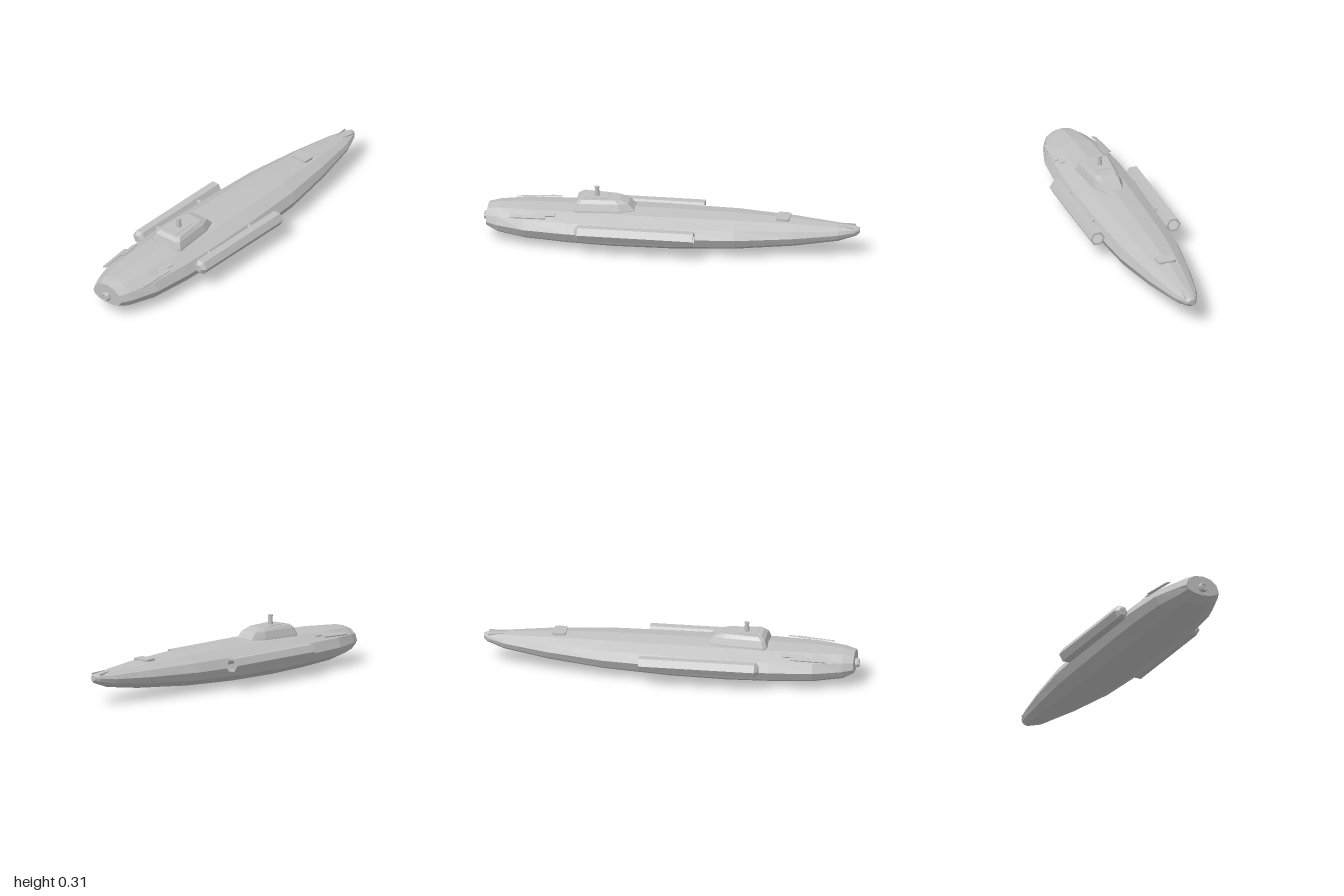
import * as THREE from 'three';

const steel = new THREE.MeshStandardMaterial({ color: 0xc0c0c0 });
steel.name = 'steel grey';
steel.flatShading = true;

function add(parent, name, geometry, x = 0, y = 0, z = 0) {
  const mesh = new THREE.Mesh(geometry, steel);
  mesh.name = name;
  mesh.position.set(x, y, z);
  parent.add(mesh);
  return mesh;
}

// Skin between equal-length loops of points, with both ends capped.
function loft(loops) {
  const n = loops[0].length, pos = [], index = [];
  loops.forEach(loop => loop.forEach(p => pos.push(...p)));
  for (let i = 0; i < loops.length - 1; i++) {
    for (let j = 0; j < n; j++) {
      const a = i * n + j, b = i * n + (j + 1) % n;
      index.push(a, b, b + n, a, b + n, a + n);
    }
  }
  const last = (loops.length - 1) * n;
  for (let j = 1; j < n - 1; j++) {
    index.push(0, j + 1, j, last, last + j, last + j + 1);
  }
  const g = new THREE.BufferGeometry();
  g.setAttribute('position', new THREE.Float32BufferAttribute(pos, 3));
  g.setIndex(index);
  const flat = g.toNonIndexed();
  flat.computeVertexNormals();
  return flat;
}

// Revolved profile of [radius, z] pairs, turned so its axis lies along z.
function turned(profile, sides) {
  const g = new THREE.LatheGeometry(profile.map(([r, z]) => new THREE.Vector2(r, z)), sides);
  g.rotateX(Math.PI / 2);
  return g;
}

// Hull stations: z, half width, bottom, top, height of the widest line
const STATIONS = [
  [-1.0, 0.016, 0.130, 0.160, 0.146],
  [-0.98, 0.032, 0.114, 0.166, 0.142],
  [-0.89, 0.068, 0.085, 0.174, 0.134],
  [-0.65, 0.120, 0.050, 0.194, 0.122],
  [-0.35, 0.168, 0.022, 0.207, 0.113],
  [0.0, 0.188, 0.005, 0.209, 0.108],
  [0.30, 0.197, 0.002, 0.209, 0.107],
  [0.54, 0.192, 0.008, 0.209, 0.107],
  [0.77, 0.172, 0.019, 0.205, 0.108],
  [0.92, 0.125, 0.038, 0.194, 0.108],
  [0.978, 0.097, 0.070, 0.180, 0.110],
];

function hullLoop([z, w, bottom, top, mid]) {
  return Array.from({ length: 12 }, (_, i) => {
    const a = i * Math.PI / 6, s = Math.sin(a);
    return [w * Math.cos(a), mid + s * (s > 0 ? top - mid : mid - bottom), z];
  });
}

// Conning tower ring: half width and z at the stern, shoulder and bow corners
function towerLoop(y, sternW, sternZ, sideW, sideZ, bowW, bowSideZ, bowZ) {
  const half = [[bowW - 0.014, bowZ], [bowW, bowSideZ], [sideW, sideZ], [sternW, sternZ]];
  const ring = [...half, ...half.slice().reverse().map(([x, z]) => [-x, z])];
  return ring.map(([x, z]) => [x, y, z]);
}

export function createModel() {
  const model = new THREE.Group();
  model.name = 'submarine';

  add(model, 'hull', loft(STATIONS.map(hullLoop)));

  // Conning tower with periscope
  const tower = new THREE.Group();
  tower.name = 'conningTower';
  model.add(tower);
  add(tower, 'towerBody', loft([
    towerLoop(0.185, 0.055, 0.190, 0.084, 0.27, 0.102, 0.50, 0.520),
    towerLoop(0.205, 0.052, 0.195, 0.080, 0.27, 0.098, 0.498, 0.517),
    towerLoop(0.240, 0.048, 0.228, 0.068, 0.28, 0.084, 0.488, 0.505),
    towerLoop(0.257, 0.040, 0.275, 0.052, 0.30, 0.069, 0.470, 0.485),
  ]));
  add(tower, 'deckPlate', new THREE.BoxGeometry(0.08, 0.004, 0.12), 0, 0.257, 0.4);
  add(tower, 'periscope', new THREE.CylinderGeometry(0.011, 0.014, 0.055, 8), 0, 0.2795, 0.4);
  add(tower, 'periscopeCap', new THREE.CylinderGeometry(0.013, 0.013, 0.008, 8), 0, 0.306, 0.4);

  // Bow tube: flange with a recessed inner rod
  add(model, 'bowFlange', turned([
    [0.026, 0.96], [0.026, 0.990], [0.022, 1.0], [0.014, 1.0], [0.014, 0.982], [0, 0.982],
  ], 8), 0, 0.112, 0);
  add(model, 'bowRod', turned([[0.009, 0.97], [0.009, 0.998], [0, 0.998]], 8), 0, 0.112, 0);

  // Raised aft hatch with rounded corners
  const w = 0.05, d = 0.035, r = 0.015;
  const shape = new THREE.Shape();
  shape.moveTo(-w + r, -d);
  shape.lineTo(w - r, -d);
  shape.quadraticCurveTo(w, -d, w, -d + r);
  shape.lineTo(w, d - r);
  shape.quadraticCurveTo(w, d, w - r, d);
  shape.lineTo(-w + r, d);
  shape.quadraticCurveTo(-w, d, -w, d - r);
  shape.lineTo(-w, -d + r);
  shape.quadraticCurveTo(-w, -d, -w + r, -d);
  const hatch = new THREE.ExtrudeGeometry(shape, { depth: 0.012, bevelEnabled: false, curveSegments: 3 });
  hatch.rotateX(-Math.PI / 2);
  add(model, 'aftHatch', hatch, 0, 0.191, -0.595).rotation.x = -0.03;

  for (const side of [1, -1]) {
    const label = side > 0 ? 'left' : 'right';

    // Hollow six-sided side pod, open aft, small hole in the bow
    const pod = turned([
      [0.030, -0.145], [0.041, -0.145], [0.041, 0.472], [0.022, 0.49],
      [0.006, 0.49], [0.006, 0.465], [0.030, 0.465], [0.030, -0.145],
    ], 6);
    pod.rotateZ(Math.PI / 2);
    add(model, label + 'Pod', pod, side * 0.214, 0.131, 0);

    // Pod struts
    for (const z of [0.03, 0.36]) {
      const strut = new THREE.CylinderGeometry(0.011, 0.011, 0.05, 8);
      strut.rotateZ(Math.PI / 2);
      add(model, label + 'Strut', strut, side * 0.176, 0.147, z);
    }

    // Folded bow planes
    const planes = [[0.140, 0.174, 0.75, 0.19], [0.125, 0.185, 0.66, 0.11]];
    for (const [x, y, z, length] of planes) {
      const plane = add(model, label + 'BowPlane', new THREE.BoxGeometry(0.026, 0.006, length), side * x, y, z);
      plane.rotation.set(0.05, -side * 0.07, -side * 0.38);
    }

    // Small stern ridge
    const ridge = add(model, label + 'SternRidge', new THREE.BoxGeometry(0.005, 0.009, 0.085), side * 0.024, 0.166, -0.935);
    ridge.rotation.set(-0.07, -side * 0.14, 0);
  }

  return model;
}
